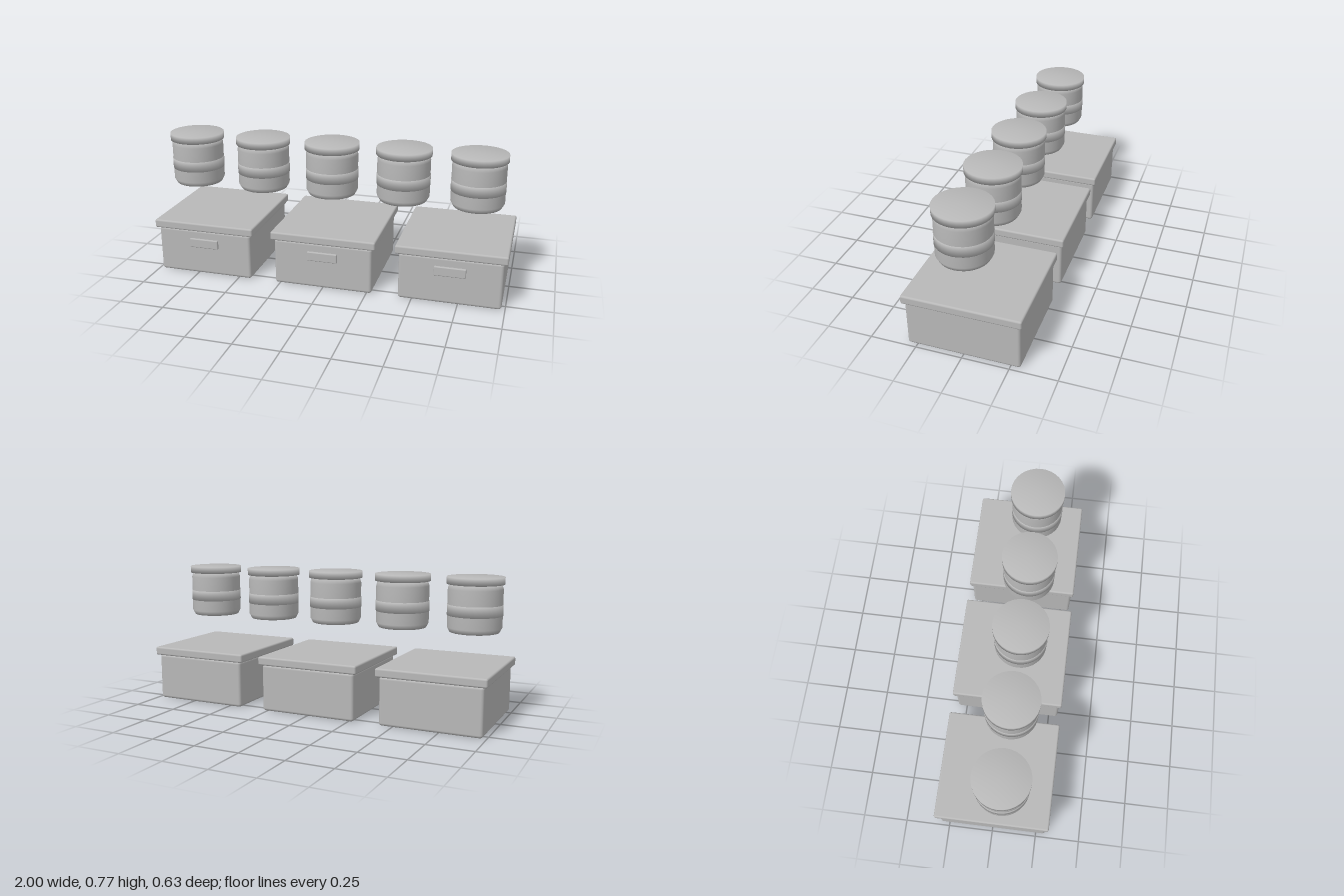
import * as THREE from 'three';
import { RoundedBoxGeometry } from 'three/addons/geometries/RoundedBoxGeometry.js';

const grey = new THREE.MeshStandardMaterial({ color: 0xb8b8b8 });
grey.name = 'grey';

function add(parent, name, geometry, x = 0, y = 0, z = 0) {
  const mesh = new THREE.Mesh(geometry, grey);
  mesh.name = name;
  mesh.position.set(x, y, z);
  parent.add(mesh);
}

// Solid of revolution with softly shaded edges
function turned(...profile) {
  return new THREE.LatheGeometry(profile.map(([r, y]) => new THREE.Vector2(r, y)), 32);
}

// Storage box: rounded body, overhanging lid, front handle
function createBox() {
  const box = new THREE.Group();
  box.name = 'storageBox';
  add(box, 'boxBody', new RoundedBoxGeometry(0.556, 0.265, 0.604, 3, 0.016), 0, 0.1325);
  add(box, 'boxLid', new RoundedBoxGeometry(0.595, 0.048, 0.63, 3, 0.01), 0, 0.286);
  add(box, 'boxHandle', new RoundedBoxGeometry(0.17, 0.052, 0.024, 2, 0.005), 0, 0.189, 0.303);
  return box;
}

// Jar: chamfered body, raised band, wide lid
function createJar() {
  const jar = new THREE.Group();
  jar.name = 'jar';
  add(jar, 'jarBody', turned(
    [0, 0], [0.132, 0], [0.146, 0.026], [0.146, 0.23], [0.137, 0.256], [0, 0.256]));
  add(jar, 'jarBand', turned([0.1, 0], [0.148, 0], [0.148, 0.058], [0.1, 0.058]), 0, 0.09);
  add(jar, 'jarLid', turned([0, 0], [0.153, 0], [0.153, 0.038], [0, 0.038]), 0, 0.256);
  return jar;
}

export function createModel() {
  const model = new THREE.Group();
  model.name = 'pantryStorage';

  // Lower row of three boxes
  for (let i = -1; i <= 1; i++) {
    const box = createBox();
    box.position.x = i * 0.7025;
    model.add(box);
  }

  // Upper row of five jars
  for (let i = -2; i <= 2; i++) {
    const jar = createJar();
    jar.position.set(-0.016 + i * 0.4075, 0.48, 0.043);
    model.add(jar);
  }
  return model;
}
